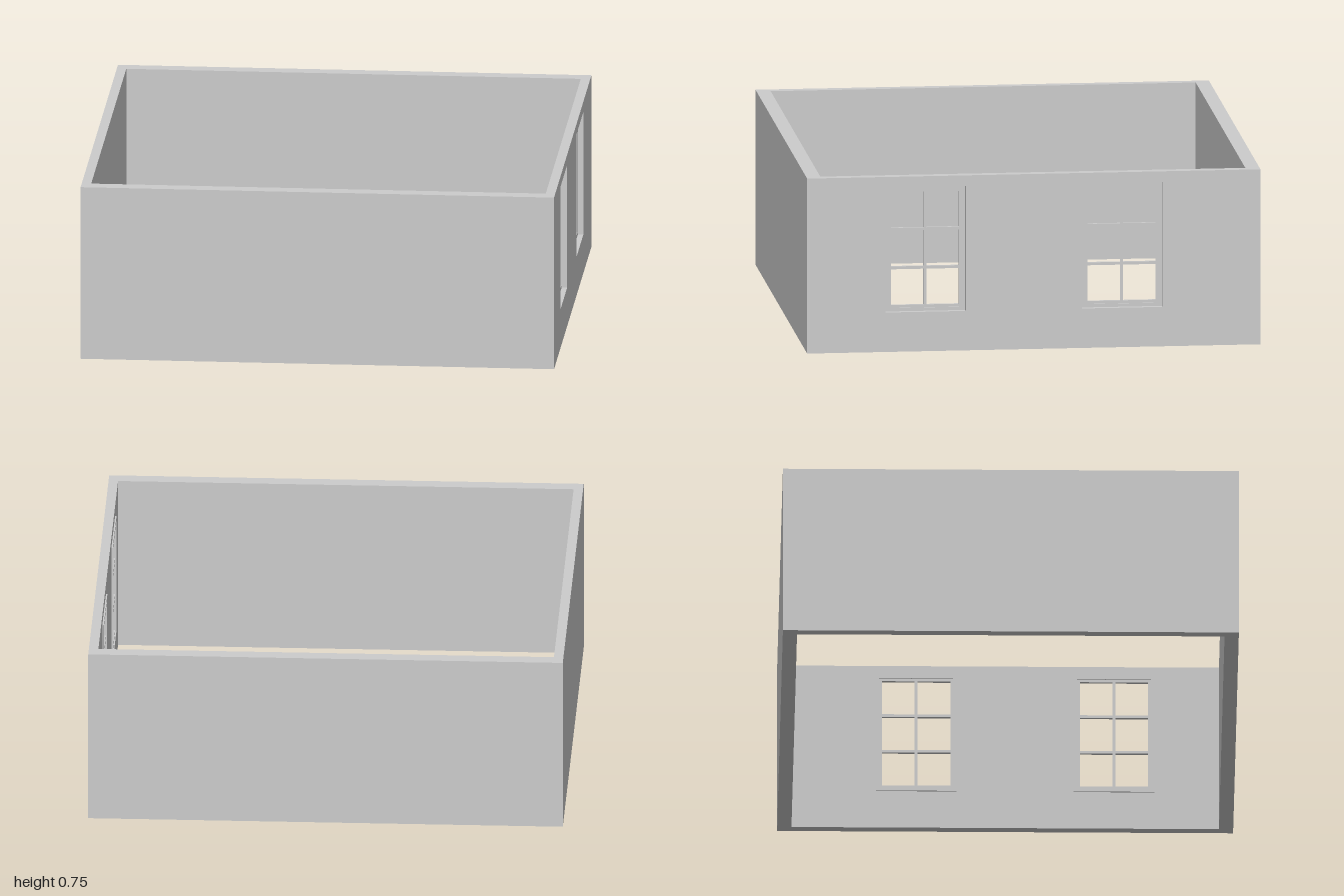
import * as THREE from 'three';

const W = 2, D = 1.92, H = 0.75;        // overall size
const SIDE = 0.04, END = 0.06;          // wall thicknesses
const WIN = { w: 0.34, h: 0.536, y: 0.437, z: [0.458, -0.375] };

const material = new THREE.MeshStandardMaterial({ color: 0xcccccc, flatShading: true });

function addMesh(parent, name, geometry, x = 0, y = 0, z = 0) {
  const mesh = new THREE.Mesh(geometry, material);
  mesh.name = name;
  mesh.position.set(x, y, z);
  parent.add(mesh);
  return mesh;
}

// Rectangle points, centred on (cx, cy)
function rect(cx, cy, w, h) {
  return [[-1, -1], [1, -1], [1, 1], [-1, 1]]
    .map(([a, b]) => new THREE.Vector2(cx + a * w / 2, cy + b * h / 2));
}

// Panel in the z-y plane with rectangular holes, filling x = 0 to depth
function panel(outline, holes, depth) {
  const shape = new THREE.Shape(outline);
  holes.forEach(h => shape.holes.push(new THREE.Path(h)));
  // shape x runs along -z, extrusion along +x
  return new THREE.ExtrudeGeometry(shape, { depth, bevelEnabled: false }).rotateY(Math.PI / 2);
}

// Outer frame, thinner sash and a two by three grid of glazing bars
function createWindow() {
  const win = new THREE.Group();
  win.name = 'window';
  const { w, h } = WIN, rim = 0.014, edge = 0.026, bar = 0.012;
  addMesh(win, 'windowFrame', panel(rect(0, 0, w, h), [rect(0, 0, w - 2 * rim, h - 2 * rim)], 0.023));
  const cols = 2, rows = 3;
  const pw = (w - 2 * edge - (cols - 1) * bar) / cols;
  const ph = (h - 2 * edge - (rows - 1) * bar) / rows;
  const panes = [];
  for (let c = 0; c < cols; c++) {
    for (let r = 0; r < rows; r++) {
      panes.push(rect((c - (cols - 1) / 2) * (pw + bar), (r - (rows - 1) / 2) * (ph + bar), pw, ph));
    }
  }
  addMesh(win, 'windowSash', panel(rect(0, 0, w - 2 * rim, h - 2 * rim), panes, 0.013), 0.005);
  return win;
}

export function createModel() {
  const room = new THREE.Group();
  room.name = 'room';

  // Plain walls
  addMesh(room, 'frontWall', new THREE.BoxGeometry(W, H, END), 0, H / 2, D / 2 - END / 2);
  addMesh(room, 'backWall', new THREE.BoxGeometry(W, H, END), 0, H / 2, -D / 2 + END / 2);
  const inner = D - 2 * END;
  addMesh(room, 'rightWall', new THREE.BoxGeometry(SIDE, H, inner), -W / 2 + SIDE / 2, H / 2, 0);

  // Wall with two window openings
  const openings = WIN.z.map(z => rect(-z, WIN.y, WIN.w, WIN.h));
  addMesh(room, 'windowWall', panel(rect(0, H / 2, inner, H), openings, SIDE), W / 2 - SIDE);

  // Windows stand slightly proud of the inside face
  WIN.z.forEach(z => {
    const win = createWindow();
    win.position.set(W / 2 - SIDE - 0.006, WIN.y, z);
    room.add(win);
  });
  return room;
}
